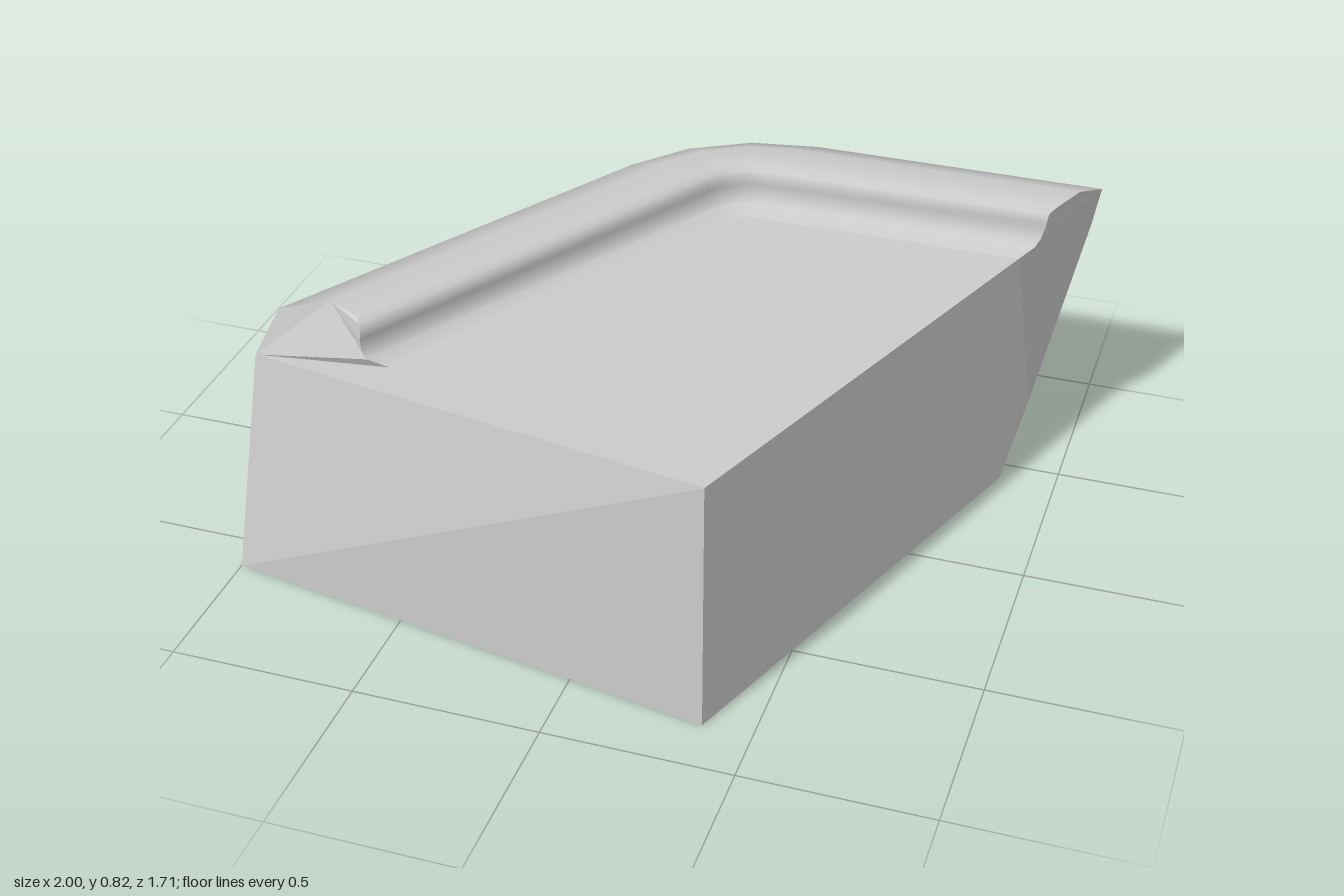
import * as THREE from 'three';
import { toCreasedNormals } from 'three/addons/utils/BufferGeometryUtils.js';

const V = (x, y, z) => new THREE.Vector3(x, y, z);
const material = new THREE.MeshStandardMaterial({ color: 0xcccccc });

// Rim section: inward offset from the outer wall, height, x of left cut, x of right cut
const section = [
  [0, 0, -1, 0.845],
  [0, 0.62, -0.945, 0.975],
  [0.055, 0.76, -0.875, 1],
  [0.205, 0.82, -0.72, 0.96],
  [0.32, 0.82, -0.625, 0.915],
  [0.342, 0.812, -0.612, 0.903],
  [0.353, 0.79, -0.605, 0.9],
  [0.35, 0.772, -0.608, 0.897],
  [0.355, 0.74, -0.604, 0.888],
  [0.37, 0.722, -0.59, 0.877],
  [0.425, 0.71, -0.53, 0.845],
];
const SIN = Math.sin(Math.PI / 3), COS = 0.5; // the two arms meet with a 60 degree turn
const BEND_STEPS = 3;

// One line along the rim: left arm, rounded corner, right arm
function rimLine([offset, y, xLeft, xRight]) {
  const left = offset * 0.94;
  const zLeft = -0.54 + (left - (xLeft + 0.335) * SIN) / COS;
  const zBack = -0.855 + offset;
  const xCorner = (left - (zBack + 0.54) * COS) / SIN - 0.335;
  const r = 0.61 - 1.25 * offset;
  const cx = xCorner + r * Math.tan(Math.PI / 6), cz = zBack + r;
  const line = [V(xLeft, y, zLeft)];
  for (let k = BEND_STEPS; k >= 0; k--) {
    const a = (Math.PI / 3) * (k / BEND_STEPS);
    line.push(V(cx - r * Math.sin(a), y, cz - r * Math.cos(a)));
  }
  line.push(V(xRight, y, zBack));
  return line;
}

function toMesh(name, points, crease) {
  let geometry = new THREE.BufferGeometry().setFromPoints(points);
  geometry.computeVertexNormals();
  if (crease) geometry = toCreasedNormals(geometry, crease);
  const mesh = new THREE.Mesh(geometry, material);
  mesh.name = name;
  return mesh;
}

// Flat polygon facing the given direction
function face(name, points, out) {
  const flat = points.map((p) =>
    Math.abs(out.y) > 0.5 ? new THREE.Vector2(p.x, p.z)
      : Math.abs(out.x) > 0.5 ? new THREE.Vector2(p.z, p.y)
        : new THREE.Vector2(p.x, p.y));
  const triangles = [];
  for (const [i, j, k] of THREE.ShapeUtils.triangulateShape(flat, [])) {
    const [a, b, c] = [points[i], points[j], points[k]];
    const normal = b.clone().sub(a).cross(c.clone().sub(a));
    triangles.push(...(normal.dot(out) < 0 ? [a, c, b] : [a, b, c]));
  }
  return toMesh(name, triangles);
}

export function createModel() {
  const model = new THREE.Group();
  model.name = 'corneredSlab';
  const lines = section.map(rimLine);
  const floorLine = lines[lines.length - 1];

  // Outer wall, rounded rim and inner lip in one sweep
  const sweep = [];
  for (let i = 0; i < lines.length - 1; i++) {
    for (let j = 0; j < floorLine.length - 1; j++) {
      const a = lines[i][j], b = lines[i + 1][j];
      const c = lines[i + 1][j + 1], d = lines[i][j + 1];
      sweep.push(a, b, d, b, c, d);
    }
  }
  model.add(toMesh('rim', sweep, 1.1));

  // Corner posts of the body
  const frontTop = V(0.37, 0.71, 0.85), frontBase = V(0.37, 0, 0.85);
  const sideTop = floorLine[floorLine.length - 1];
  const sideBase = V(sideTop.x, 0, sideTop.z);

  // Level surfaces
  model.add(face('topSurface', [...floorLine, frontTop], V(0, 1, 0)));
  model.add(face('base', [...lines[0], sideBase, frontBase], V(0, -1, 0)));

  // Front cut across the left arm
  const front = V(-0.17, 0, 0.98);
  const frontCut = lines.map((l) => l[0]);
  model.add(face('frontFace', [frontCut[0], frontBase, frontTop, frontCut[1]], front));
  model.add(face('frontRimEnd', [...frontCut.slice(1), frontTop], front));

  // Side cut across the right arm
  const side = V(0.95, 0, 0.3);
  const sideCut = lines.map((l) => l[l.length - 1]);
  model.add(face('sideFace', [frontBase, sideBase, sideTop, frontTop], side));
  model.add(face('sideRearFace', [sideBase, sideCut[0], sideCut[1], sideTop], side));
  model.add(face('sideRimEnd', sideCut.slice(1), side));

  return model;
}
